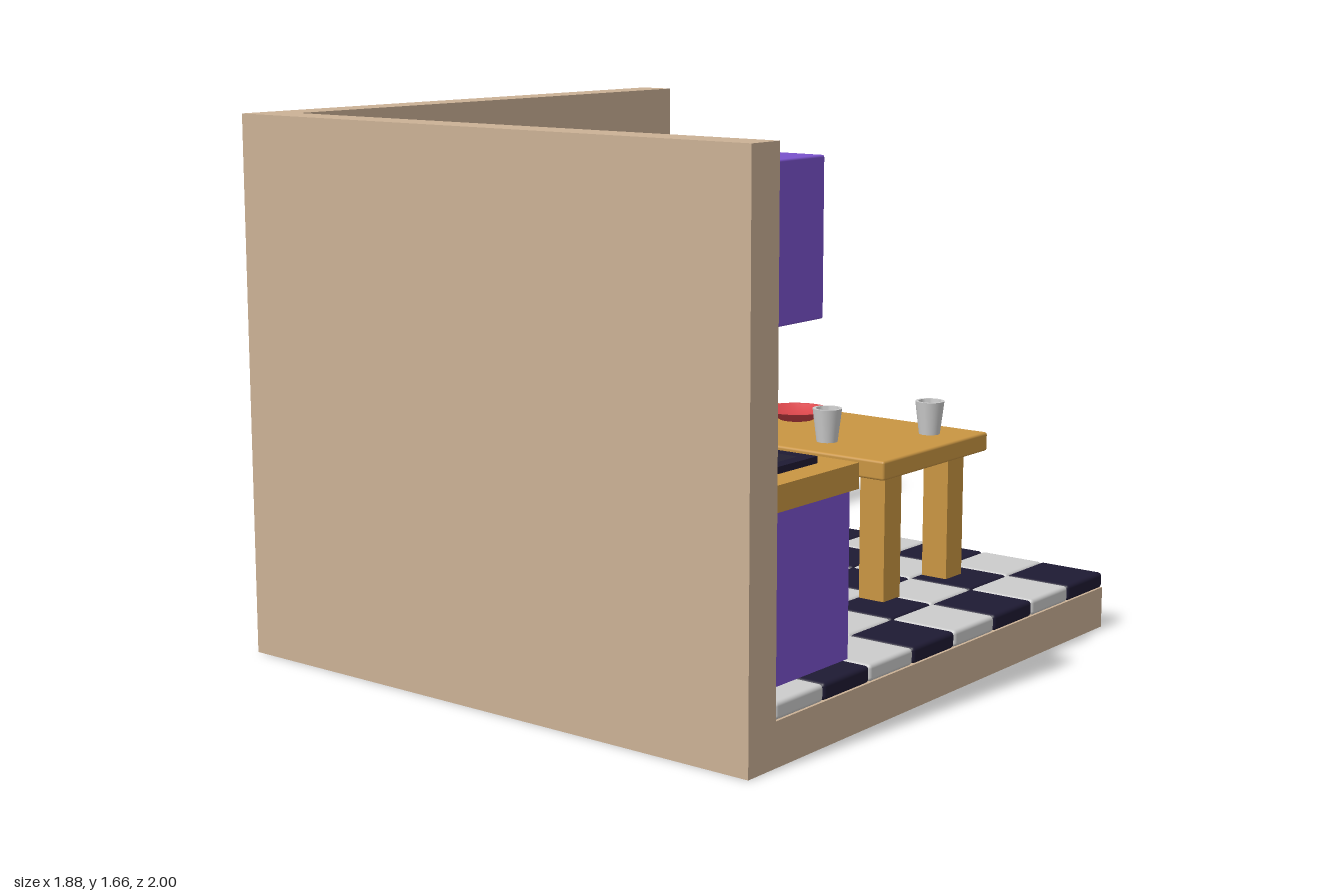
import * as THREE from 'three';
import { RoundedBoxGeometry } from 'three/addons/geometries/RoundedBoxGeometry.js';
import { toCreasedNormals } from 'three/addons/utils/BufferGeometryUtils.js';

const mat = (color, opts = {}) => new THREE.MeshStandardMaterial({ color, ...opts });
const WALL = mat(0xcbb195), PURPLE = mat(0x7a52cc), WOOD = mat(0xc99542), RED = mat(0xd8454a);
const FRAME = mat(0xcbb07c), NAVY = mat(0x1e1a33), GREY = mat(0xcccccc);
const RED_OPEN = mat(0xd8454a, { side: THREE.DoubleSide });
const GREY_OPEN = mat(0xcccccc, { side: THREE.DoubleSide });
const NAVY_OPEN = mat(0x1e1a33, { side: THREE.DoubleSide, flatShading: true });

export function createModel() {
  const model = new THREE.Group();
  model.name = 'kitchenRoom';

  const add = (name, geometry, material, x = 0, y = 0, z = 0) => {
    const mesh = new THREE.Mesh(geometry, material);
    mesh.name = name;
    mesh.position.set(x, y, z);
    model.add(mesh);
    return mesh;
  };

  // Box given by its limits, with optional rounded edges
  const box = (name, material, [x0, x1], [y0, y1], [z0, z1], r = 0) => {
    const size = [x1 - x0, y1 - y0, z1 - z0];
    const geo = r ? new RoundedBoxGeometry(...size, 2, r) : new THREE.BoxGeometry(...size);
    return add(name, geo, material, (x0 + x1) / 2, (y0 + y1) / 2, (z0 + z1) / 2);
  };

  // Rectangular plate with a rectangular hole, extruded along z
  const rect = (path, [x0, x1, y0, y1]) =>
    path.moveTo(x0, y0).lineTo(x1, y0).lineTo(x1, y1).lineTo(x0, y1).closePath();
  const ringGeometry = (outer, inner, a, b) => {
    const shape = rect(new THREE.Shape(), outer);
    shape.holes.push(rect(new THREE.Path(), inner));
    return new THREE.ExtrudeGeometry(shape, { depth: b - a, bevelEnabled: false }).translate(0, 0, a);
  };
  const ring = (name, material, ...args) => add(name, ringGeometry(...args), material);
  // The same plate lying flat: limits are x0, x1, z0, z1, then bottom and top
  const flatRing = (name, material, o, i, y0, y1) => {
    const flip = ([x0, x1, z0, z1]) => [x0, x1, -z1, -z0];
    return add(name, ringGeometry(flip(o), flip(i), y0, y1).rotateX(-Math.PI / 2), material);
  };

  // Room shell
  box('leftWall', WALL, [-0.945, -0.825], [0, 1.66], [-0.895, 1]);
  box('floorSlab', WALL, [-0.825, 0.94], [0, 0.13], [-0.895, 1]);
  ring('backWall', WALL, [-0.825, 0.94, 0.13, 1.66], [0.06, 0.645, 0.69, 1.49], -0.895, -0.775);

  // Chequered floor
  const tw = 1.765 / 8, td = 1.775 / 8;
  for (let i = 0; i < 8; i++) {
    for (let j = 0; j < 8; j++) {
      const x = -0.825 + i * tw, z = -0.775 + j * td;
      box('floorTile', (i + j) % 2 ? GREY : NAVY, [x, x + tw], [0.13, 0.18], [z, z + td], 0.012);
    }
  }

  // Window frame, two stepped sashes with panes, and sill
  ring('windowFrame', FRAME, [0.06, 0.645, 0.69, 1.49], [0.1, 0.597, 0.75, 1.45], -0.893, -0.86);
  ring('lowerSash', FRAME, [0.1, 0.597, 0.75, 1.1], [0.106, 0.591, 0.756, 1.094], -0.995, -0.87);
  box('lowerPane', GREY, [0.102, 0.595], [0.752, 1.098], [-1, -0.99]);
  ring('upperSash', FRAME, [0.1, 0.597, 1.1, 1.45], [0.155, 0.542, 1.155, 1.395], -0.93, -0.885);
  ring('upperSashLip', FRAME, [0.15, 0.547, 1.15, 1.4], [0.156, 0.541, 1.156, 1.394], -0.975, -0.92);
  box('upperPane', GREY, [0.152, 0.545], [1.152, 1.398], [-0.98, -0.97]);
  box('windowSill', WOOD, [0.055, 0.64], [0.65, 0.71], [-0.78, -0.688], 0.008);

  // Cupboards, worktop and sink
  const hole = [-0.77, -0.445, 0.435, 0.79];
  box('wallCupboard', PURPLE, [-0.825, -0.505], [1.16, 1.6], [-0.205, 0.915], 0.006);
  flatRing('baseCupboard', PURPLE, [-0.825, -0.37, -0.205, 0.915], hole, 0.18, 0.66);
  flatRing('worktop', WOOD, [-0.825, -0.325, -0.205, 0.915], hole, 0.66, 0.735);
  for (const [x, y0, y1, knobY] of [[-0.505, 1.21, 1.56, 1.4], [-0.37, 0.275, 0.655, 0.49]]) {
    for (const [z0, z1, knobZ] of [[0.365, 0.89, 0.418], [-0.175, 0.345, 0.298]]) {
      box('cupboardDoor', PURPLE, [x - 0.01, x + 0.035], [y0, y1], [z0, z1], 0.01);
      add('cupboardKnob', new THREE.SphereGeometry(0.032, 24, 16), GREY, x + 0.05, knobY, knobZ);
    }
  }
  flatRing('sinkRim', NAVY, [-0.81, -0.405, 0.395, 0.83], hole, 0.735, 0.755);
  const basinProfile = [[0, 0.58], [0.6, 0.58], [Math.SQRT1_2, 0.755]].map((p) => new THREE.Vector2(...p));
  const basin = new THREE.LatheGeometry(basinProfile, 4).rotateY(Math.PI / 4).scale(0.325, 1, 0.355);
  add('sinkBasin', basin, NAVY_OPEN, -0.6075, 0, 0.6125);
  box('tapPost', GREY, [-0.81, -0.782], [0.735, 0.872], [0.595, 0.627]);
  box('tapSpout', GREY, [-0.782, -0.685], [0.85, 0.872], [0.595, 0.627]);

  // Fridge: arched outline lofted along x through [x, inset] sections
  const arch = (inset) => {
    const r = 0.14 - inset, z0 = -0.772 + inset, z1 = -0.232 - inset, top = 1.38 - inset;
    const pts = [[z0, 0.18]];
    for (const [cz, start] of [[z0 + r, Math.PI], [z1 - r, Math.PI / 2]]) {
      for (let k = 0; k <= 10; k++) {
        const a = start - (k / 10) * Math.PI / 2;
        pts.push([cz + r * Math.cos(a), top - r + r * Math.sin(a)]);
      }
    }
    return [...pts, [z1, 0.18]];
  };
  const loft = (sections) => {
    const pos = [], idx = [], n = arch(0).length;
    for (const [x, inset] of sections) for (const [z, y] of arch(inset)) pos.push(x, y, z);
    for (let s = 0; s < sections.length - 1; s++) {
      for (let i = 0; i < n; i++) {
        const a = s * n + i, b = s * n + (i + 1) % n;
        idx.push(a, b, b + n, a, b + n, a + n);
      }
    }
    const last = (sections.length - 1) * n;
    for (let i = 1; i < n - 1; i++) idx.push(last, last + i, last + i + 1);
    const geo = new THREE.BufferGeometry();
    geo.setAttribute('position', new THREE.Float32BufferAttribute(pos, 3));
    geo.setIndex(idx);
    return toCreasedNormals(geo, 0.6);
  };
  add('fridgeBody', loft([[-0.825, 0], [-0.405, 0]]), GREY);
  const doorSections = [[-0.405, 0]];
  for (let k = 0; k <= 8; k++) {
    const a = (k / 8) * Math.PI / 2;
    doorSections.push([-0.355 + 0.085 * Math.sin(a), 0.085 * (1 - Math.cos(a))]);
  }
  add('fridgeDoor', loft(doorSections), RED);
  box('fridgeHandleArm', GREY, [-0.275, -0.215], [0.868, 0.895], [-0.385, -0.355]);
  box('fridgeHandleGrip', GREY, [-0.215, -0.195], [0.72, 0.895], [-0.385, -0.355]);

  // Table
  box('tableTop', WOOD, [0.122, 0.713], [0.575, 0.635], [-0.15, 0.7], 0.008);
  for (const x of [0.195, 0.55]) {
    for (const z of [-0.1, 0.567]) box('tableLeg', WOOD, [x, x + 0.09], [0.178, 0.58], [z, z + 0.09]);
  }

  // Tableware
  const lathe = (points) => new THREE.LatheGeometry(points.map((p) => new THREE.Vector2(...p)), 32);
  const cup = [[0, 0], [0.033, 0], [0.046, 0.105], [0.036, 0.105], [0.026, 0.012], [0, 0.012]];
  for (const [x, z] of [[0.273, 0.387], [0.577, 0.568]]) {
    add('cup', toCreasedNormals(lathe(cup), 0.6), GREY_OPEN, x, 0.635, z);
  }
  const bowl = [[0, 0], [0.055, 0], [0.11, 0.033], [0.1, 0.033], [0.07, 0.012], [0, 0.005]];
  add('bowl', toCreasedNormals(lathe(bowl), 0.6), RED_OPEN, 0.515, 0.635, 0.095);

  return model;
}
